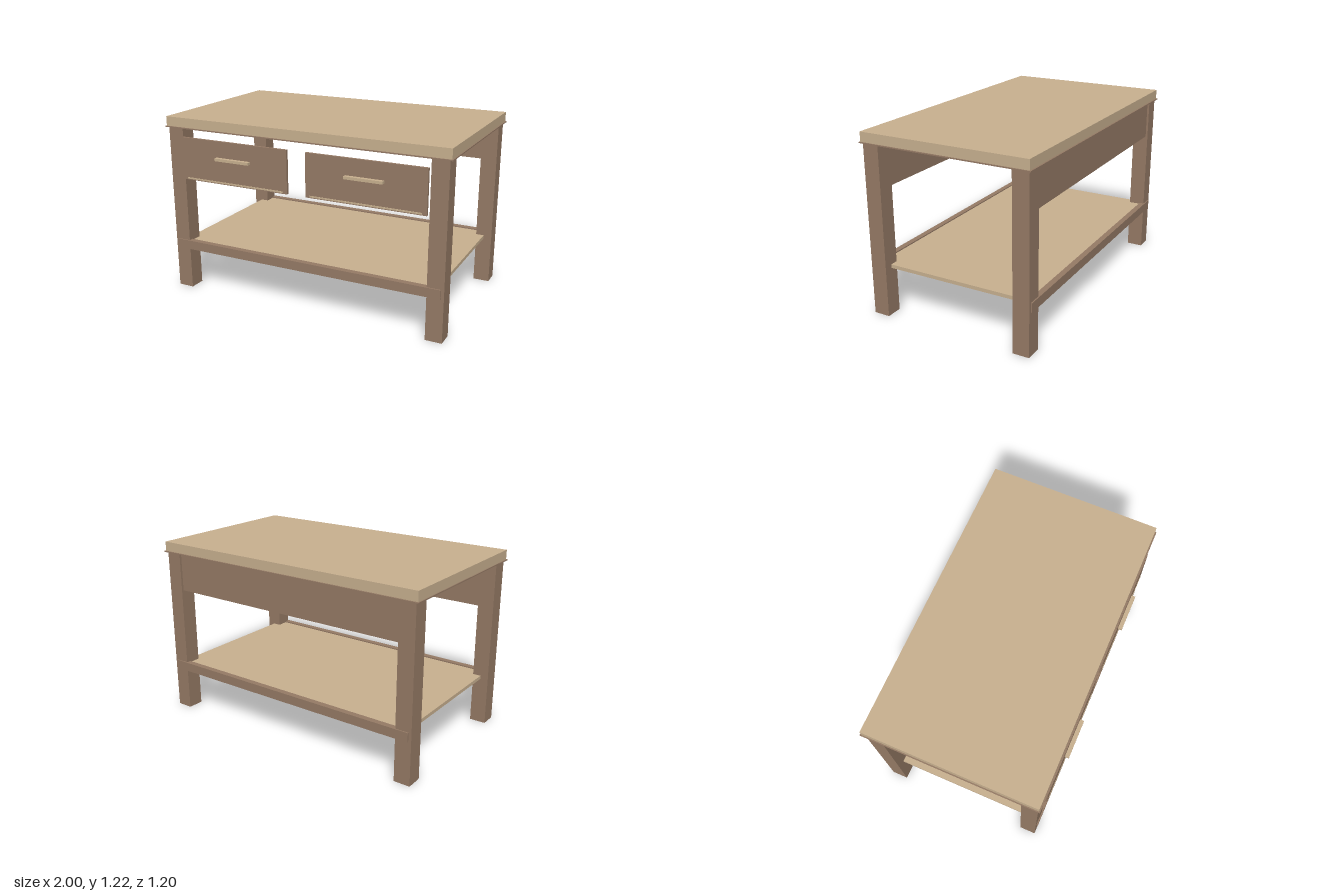
import * as THREE from 'three';

export function createModel() {
  const table = new THREE.Group();
  table.name = 'workTable';

  const brown = new THREE.MeshStandardMaterial({ color: 0x967b66 });
  brown.name = 'brown wood';
  const tan = new THREE.MeshStandardMaterial({ color: 0xc9b190 });
  tan.name = 'tan wood';

  // Adds a box given its limits on each axis.
  function box(parent, name, material, [x0, x1], [y0, y1], [z0, z1]) {
    const mesh = new THREE.Mesh(new THREE.BoxGeometry(x1 - x0, y1 - y0, z1 - z0), material);
    mesh.position.set((x0 + x1) / 2, (y0 + y1) / 2, (z0 + z1) / 2);
    mesh.name = name;
    parent.add(mesh);
  }

  // Top slab on a thin projecting board
  box(table, 'tabletop', tan, [-0.993, 0.993], [1.152, 1.216], [-0.588, 0.563]);
  box(table, 'tabletopLip', brown, [-1, 1], [1.145, 1.152], [-0.598, 0.571]);

  // Four square legs
  for (const x of [-0.98, 0.87]) {
    const side = x > 0 ? 'Left' : 'Right';
    box(table, 'front' + side + 'Leg', brown, [x, x + 0.11], [0, 1.145], [0.445, 0.555]);
    box(table, 'back' + side + 'Leg', brown, [x, x + 0.11], [0, 1.145], [-0.581, -0.471]);
  }

  // Back apron, set in slightly from the leg faces
  box(table, 'backApron', brown, [-0.872, 0.872], [0.885, 1.145], [-0.567, -0.53]);

  // Lower rails, standing proud of the legs, and the shelf between them
  box(table, 'frontRail', brown, [-0.96, 0.96], [0.29, 0.352], [0.525, 0.564]);
  box(table, 'backRail', brown, [-0.96, 0.96], [0.29, 0.352], [-0.589, -0.55]);
  box(table, 'shelf', tan, [-0.925, 0.925], [0.32, 0.344], [-0.55, 0.525]);

  // Two drawer fronts with bar handles and a thin bottom strip
  for (const x of [-0.866, 0.063]) {
    const drawer = new THREE.Group();
    drawer.name = x > 0 ? 'leftDrawer' : 'rightDrawer';
    box(drawer, 'drawerFront', brown, [x, x + 0.797], [0.802, 1.089], [0.555, 0.573]);
    box(drawer, 'drawerHandle', tan, [x + 0.272, x + 0.528], [0.963, 0.981], [0.573, 0.6]);
    box(drawer, 'drawerStrip', tan, [x + 0.03, x + 0.767], [0.808, 0.818], [0.573, 0.576]);
    table.add(drawer);
  }

  return table;
}
